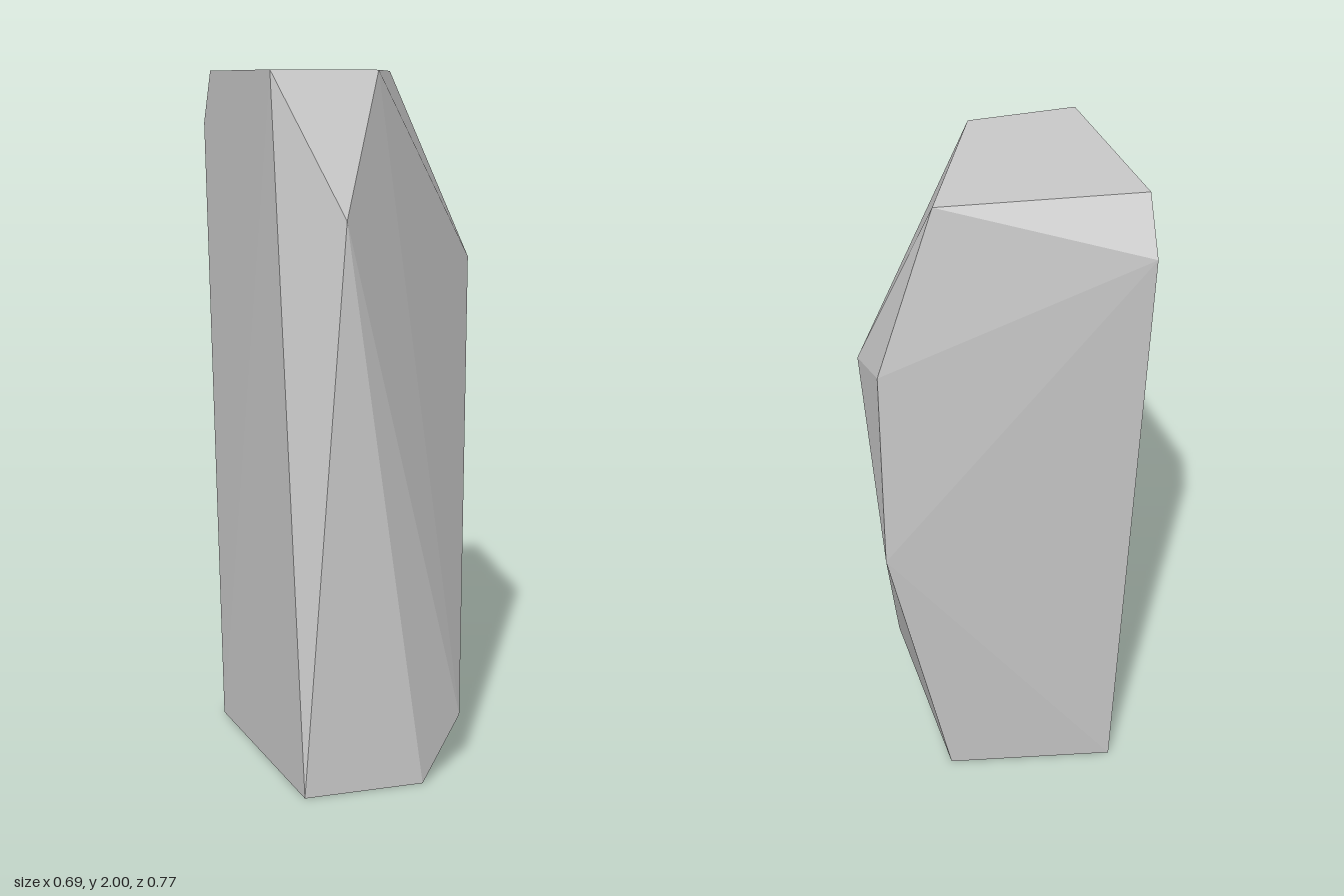
import * as THREE from 'three';
import { ConvexGeometry } from 'three/addons/geometries/ConvexGeometry.js';

export function createModel() {
  const group = new THREE.Group();
  group.name = 'standingStone';

  // Corners of the faceted stone, from the top down
  const corners = [
    // flat top
    [-0.345, 2, -0.31], [0.19, 2, -0.232], [-0.04, 2, 0.23], [-0.345, 2, 0.23],
    // chipped shoulders
    [-0.345, 1.85, -0.384], [-0.192, 1.618, 0.384], [0.345, 1.54, -0.232], [0.345, 1.463, 0],
    // tapering side
    [0.345, 0.925, -0.232], [0.19, 0.155, 0.306],
    // foot
    [-0.308, 0, 0.345], [0.038, 0, 0.384], [0.152, 0, -0.192], [-0.345, 0, -0.306],
  ].map((c) => new THREE.Vector3(...c));

  const material = new THREE.MeshStandardMaterial({ color: 0xcccccc, flatShading: true });
  const stone = new THREE.Mesh(new ConvexGeometry(corners), material);
  stone.name = 'stone';
  group.add(stone);
  return group;
}
